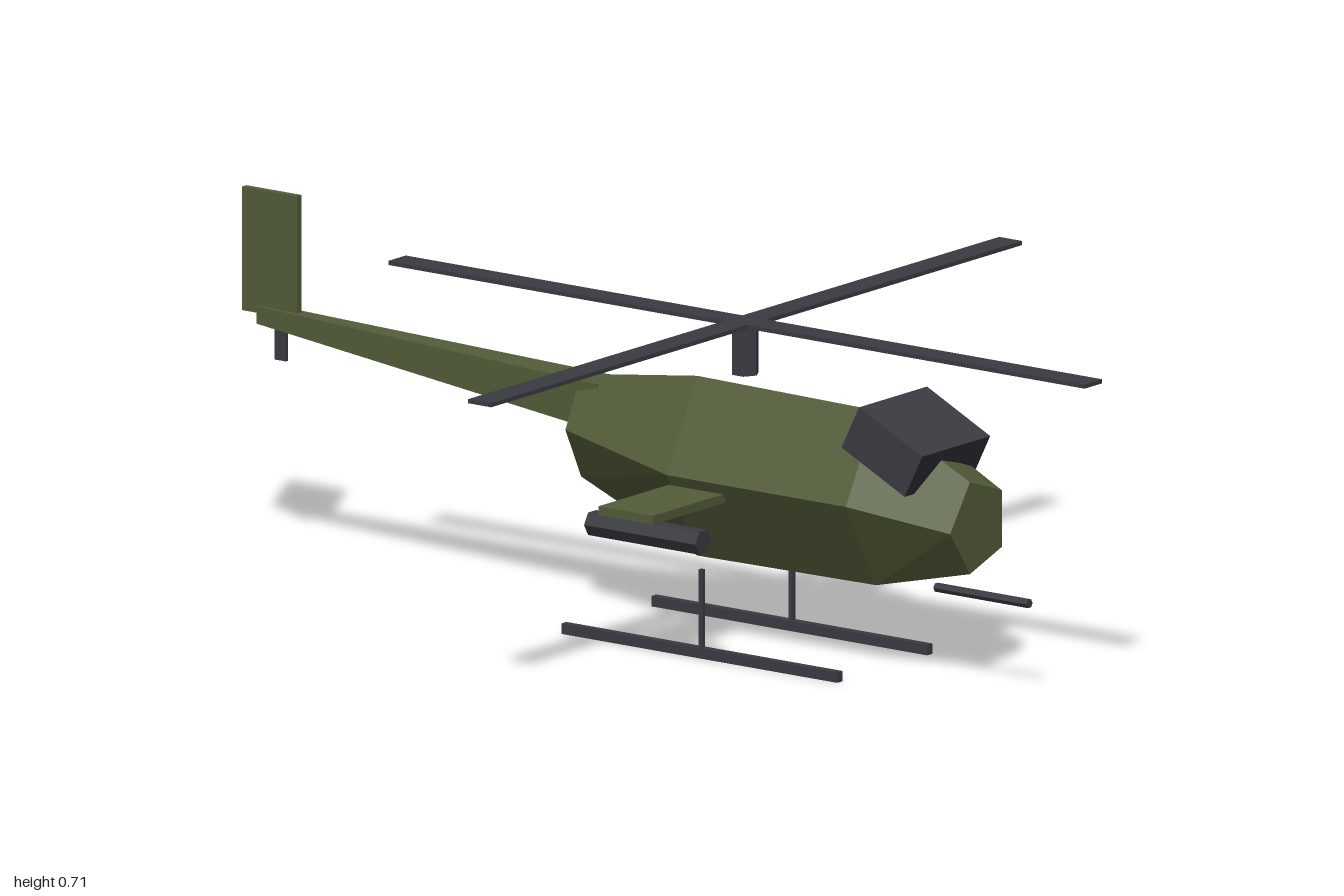
import * as THREE from 'three';

const olive = new THREE.MeshStandardMaterial({ color: 0x535d39, flatShading: true });
olive.name = 'olive paint';
const dark = new THREE.MeshStandardMaterial({ color: 0x3a3a42, flatShading: true });
dark.name = 'dark metal';

// Closed skin over rings of points, ordered front to back, counterclockwise seen from +z
function loft(rings) {
  const n = rings[0].length;
  const index = [];
  for (let i = 0; i < rings.length - 1; i++) {
    for (let j = 0; j < n; j++) {
      const k = (j + 1) % n;
      const a = i * n + j, b = i * n + k, c = b + n, d = a + n;
      index.push(a, d, c, a, c, b);
    }
  }
  const last = (rings.length - 1) * n;
  for (let j = 1; j < n - 1; j++) {
    index.push(0, j, j + 1, last, last + j + 1, last + j);
  }
  const geometry = new THREE.BufferGeometry();
  geometry.setAttribute('position', new THREE.Float32BufferAttribute(rings.flat(2), 3));
  geometry.setIndex(index);
  const flat = geometry.toNonIndexed();
  flat.computeVertexNormals();
  return flat;
}

// Five-sided cross-section with one corner on the -x side
function pentagon(z, y, rx, ry) {
  return Array.from({ length: 5 }, (_, i) => {
    const t = Math.PI / 5 + (i * Math.PI * 2) / 5;
    return [rx * Math.cos(t), y + ry * Math.sin(t), z];
  });
}

function rectangle(z, w, bottom, top) {
  return [[w, bottom, z], [w, top, z], [-w, top, z], [-w, bottom, z]];
}

// Six-sided bar lying along z
function hexBar(radius, length) {
  return new THREE.CylinderGeometry(radius, radius, length, 6, 1, false, Math.PI / 6).rotateX(Math.PI / 2);
}

export function createModel() {
  const model = new THREE.Group();
  model.name = 'helicopter';

  const add = (name, geometry, material, x = 0, y = 0, z = 0) => {
    const mesh = new THREE.Mesh(geometry, material);
    mesh.name = name;
    mesh.position.set(x, y, z);
    model.add(mesh);
    return mesh;
  };
  const box = (name, material, size, at) => add(name, new THREE.BoxGeometry(...size), material, ...at);

  // Body
  add('fuselage', loft([
    pentagon(0.73, 0.307, 0.088, 0.093),
    pentagon(0.52, 0.338, 0.135, 0.177),
    pentagon(0.1, 0.339, 0.138, 0.182),
    pentagon(-0.19, 0.371, 0.07, 0.104),
  ]), olive);
  add('tailBoom', loft([
    rectangle(-0.14, 0.038, 0.37, 0.46),
    rectangle(-0.96, 0.014, 0.453, 0.487),
  ]), olive);
  box('tailFin', olive, [0.014, 0.238, 0.13], [0, 0.591, -0.935]);
  box('canopy', dark, [0.21, 0.093, 0.166], [0, 0.447, 0.582]).rotation.x = 0.46;

  // Rotors
  add('rotorMast', new THREE.CylinderGeometry(0.027, 0.027, 0.1, 6), dark, 0, 0.57, 0.18);
  box('rotorBladeAlong', dark, [0.054, 0.008, 1.64], [0, 0.619, 0.18]);
  box('rotorBladeAcross', dark, [1.64, 0.008, 0.054], [0, 0.619, 0.18]);
  box('tailRotor', dark, [0.007, 0.295, 0.027], [0.025, 0.527, -0.932]);

  // Wing, pods and landing gear
  box('stubWing', olive, [0.685, 0.017, 0.128], [0, 0.309, 0.16]);
  for (const [side, s] of [['left', 1], ['right', -1]]) {
    add(side + 'Pod', hexBar(0.025, 0.262), dark, s * 0.28, 0.265, 0.164);
    box(side + 'Skid', dark, [0.016, 0.02, 0.65], [s * 0.139, 0.01, 0.184]);
    box(side + 'SkidStrut', dark, [0.009, 0.15, 0.009], [s * 0.139, 0.095, 0.184]);
  }

  // Nose gun
  add('gunBarrel', hexBar(0.009, 0.22), dark, 0, 0.174, 0.74);

  return model;
}
